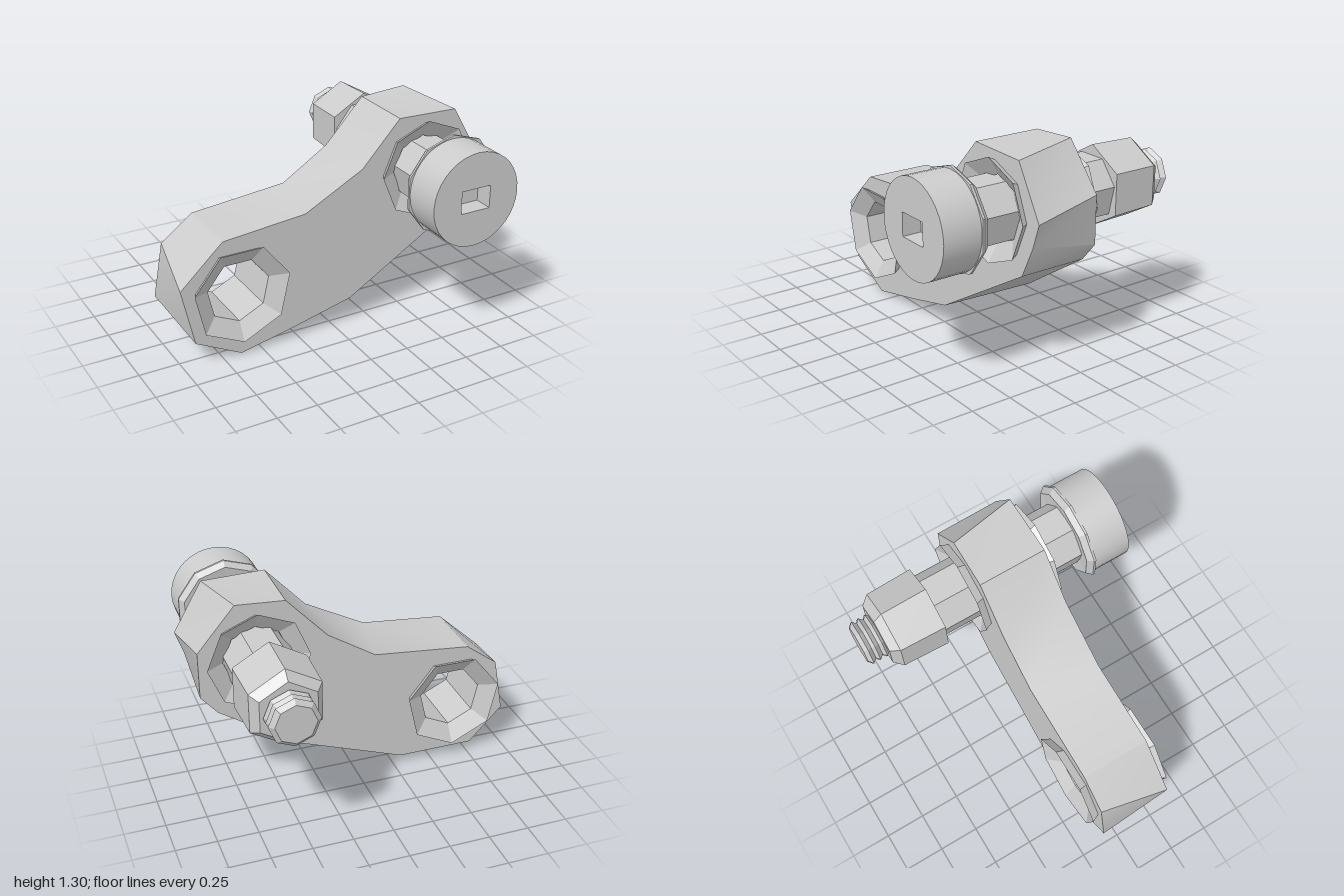
import * as THREE from 'three';
import { toCreasedNormals } from 'three/addons/utils/BufferGeometryUtils.js';

const smooth = new THREE.MeshStandardMaterial({ color: 0xcccccc });
const faceted = new THREE.MeshStandardMaterial({ color: 0xcccccc, flatShading: true });

const BORE = [-0.63, 0.41];
const BOLT = [0.61, 0.935];
const BACK = -0.11, FRONT = 0.32;

function add(parent, name, geometry, material) {
  const mesh = new THREE.Mesh(geometry, material);
  mesh.name = name;
  parent.add(mesh);
  return mesh;
}

// Turned part along z; profile is [radius, z], running from back to front on the outside
function turned(parent, name, [x, y], profile, sides) {
  const geometry = new THREE.LatheGeometry(profile.map(([r, z]) => new THREE.Vector2(r, z)), sides);
  geometry.rotateX(Math.PI / 2).translate(x, y, 0);
  return add(parent, name, geometry, faceted);
}

// Link plate: each corner is [front x, front y, back x, back y]
function linkGeometry() {
  const corners = [
    [-1, 0.51, -0.93, 0.61], [-0.92, 0.15, -0.99, 0.27], [-0.63, 0, -0.78, 0.05],
    [-0.26, 0.08, -0.3, 0.05], [0.11, 0.17, 0.38, 0.3], [0.86, 0.62, 0.86, 0.62],
    [0.95, 0.81, 0.96, 0.74], [1, 0.96, 0.96, 1.03], [0.82, 1.27, 0.73, 1.3],
    [0.43, 1.28, 0.43, 1.28], [0.18, 1.01, 0.18, 1.01], [-0.2, 0.81, -0.12, 0.82],
    [-0.73, 0.76, -0.73, 0.76],
  ];
  const shape = new THREE.Shape(corners.map(([x, y]) => new THREE.Vector2(x, y)));
  for (const [x, y] of [BORE, BOLT]) {
    shape.holes.push(new THREE.Path().absarc(x, y, 0.24, 0, Math.PI * 2, true));
  }
  const geometry = new THREE.ExtrudeGeometry(shape, {
    depth: FRONT - BACK, bevelEnabled: false, curveSegments: 10,
  });
  const p = geometry.attributes.position;
  for (let i = 0; i < p.count; i++) {
    if (p.getZ(i) > 0.01) continue;
    const c = corners.find(([x, y]) => Math.hypot(x - p.getX(i), y - p.getY(i)) < 0.001);
    if (c) p.setXY(i, c[2], c[3]);
  }
  geometry.translate(0, 0, BACK);
  return toCreasedNormals(geometry, 0.5);
}

// Round bolt head with a square drive socket
function headGeometry() {
  const shape = new THREE.Shape().absarc(...BOLT, 0.29, 0, Math.PI * 2, false);
  const [l, r, b, t] = [0.51, 0.705, 0.865, 1.005];
  shape.holes.push(new THREE.Path([[l, b], [l, t], [r, t], [r, b]].map((q) => new THREE.Vector2(...q))));
  const geometry = new THREE.ExtrudeGeometry(shape, { depth: 0.24, bevelEnabled: false, curveSegments: 18 });
  return toCreasedNormals(geometry.translate(0, 0, 0.615), 0.6);
}

export function createModel() {
  const model = new THREE.Group();
  model.name = 'linkWithBolt';

  add(model, 'linkPlate', linkGeometry(), smooth);

  // Flared bushings lining both holes
  const bushing = [
    [0.2, -0.09], [0.31, -0.16], [0.285, BACK], [0.285, FRONT],
    [0.31, 0.365], [0.2, 0.3], [0.2, -0.09],
  ];
  turned(model, 'openBushing', BORE, bushing, 7);
  turned(model, 'boltBushing', BOLT, bushing, 8);

  // Bolt through the upper hole
  const bolt = new THREE.Group();
  bolt.name = 'bolt';
  model.add(bolt);
  add(bolt, 'boltHead', headGeometry(), smooth);
  turned(bolt, 'washer', BOLT, [[0.19, 0.575], [0.28, 0.565], [0.31, 0.6], [0.31, 0.615], [0.19, 0.615]], 10);
  turned(bolt, 'boltShank', BOLT, [[0, -0.4], [0.205, -0.4], [0.205, 0.74], [0, 0.74]], 7);
  turned(bolt, 'nut', BOLT, [[0, -0.725], [0.19, -0.725], [0.24, -0.67], [0.25, -0.375], [0, -0.375]], 6);

  // Threaded end of the bolt
  const tip = [[0, -0.855], [0.12, -0.855]];
  for (let i = 0; i < 3; i++) {
    tip.push([0.15, -0.83 + i * 0.045], [0.125, -0.805 + i * 0.045]);
  }
  turned(bolt, 'threadedTip', BOLT, tip, 8);

  return model;
}
